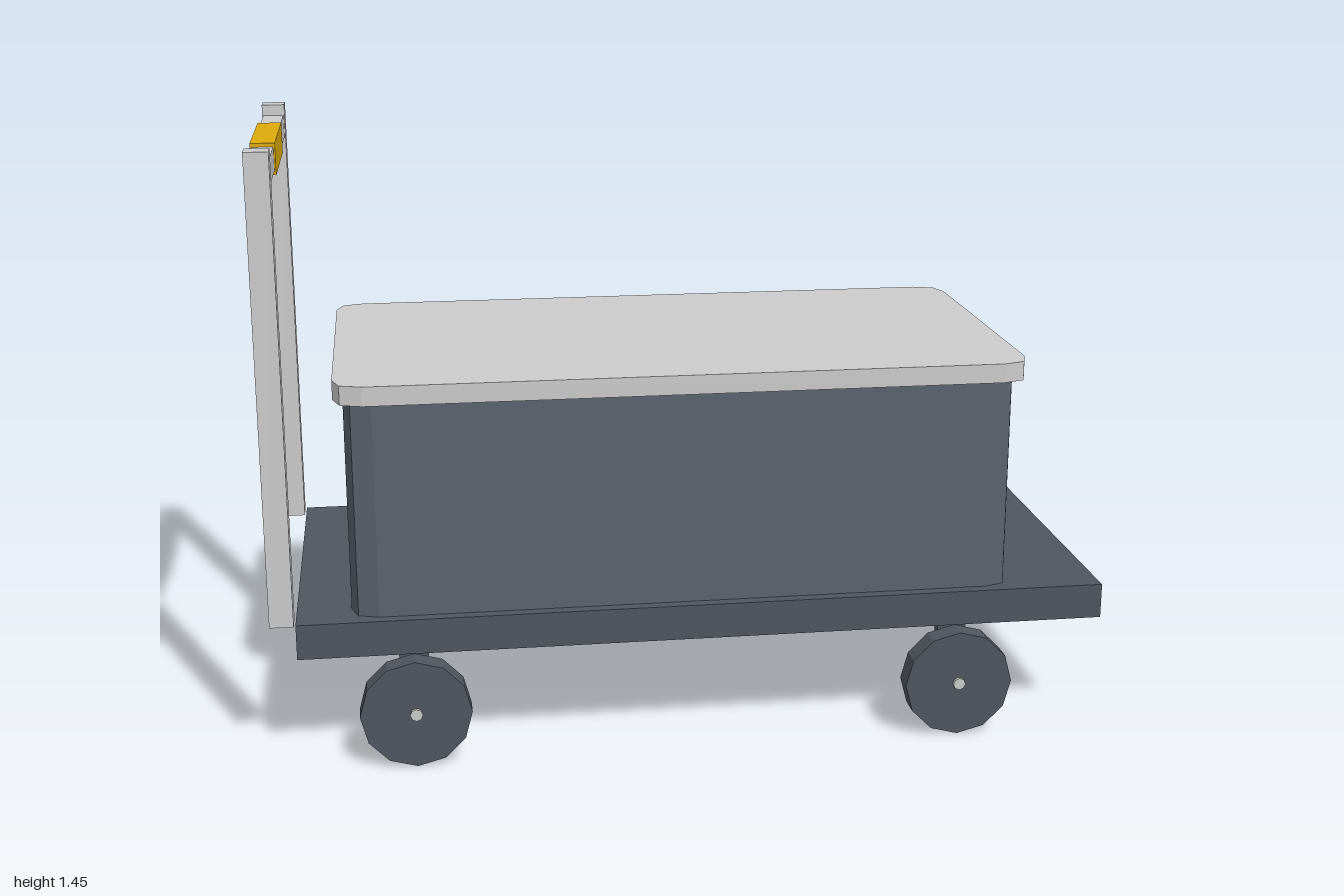
import * as THREE from 'three';

const light = new THREE.MeshStandardMaterial({ color: 0xcccccc, flatShading: true });
const dark = new THREE.MeshStandardMaterial({ color: 0x50565f, flatShading: true });
const binGrey = new THREE.MeshStandardMaterial({ color: 0x5a636e, flatShading: true });
const yellow = new THREE.MeshStandardMaterial({ color: 0xddaa0a, flatShading: true });

function add(parent, name, geometry, material, x, y, z) {
  const mesh = new THREE.Mesh(geometry, material);
  mesh.name = name;
  mesh.position.set(x, y, z);
  parent.add(mesh);
  return mesh;
}

// Box given by its lower and upper limits
function block(parent, name, material, [x0, x1], [y0, y1], [z0, z1]) {
  const geometry = new THREE.BoxGeometry(x1 - x0, y1 - y0, z1 - z0);
  return add(parent, name, geometry, material, (x0 + x1) / 2, (y0 + y1) / 2, (z0 + z1) / 2);
}

// Upright slab with rounded vertical corners, base at y = 0
function roundedSlab(width, depth, height, r) {
  const w = width / 2, d = depth / 2;
  const s = new THREE.Shape();
  s.moveTo(-w + r, -d);
  s.lineTo(w - r, -d);
  s.quadraticCurveTo(w, -d, w, -d + r);
  s.lineTo(w, d - r);
  s.quadraticCurveTo(w, d, w - r, d);
  s.lineTo(-w + r, d);
  s.quadraticCurveTo(-w, d, -w, d - r);
  s.lineTo(-w, -d + r);
  s.quadraticCurveTo(-w, -d, -w + r, -d);
  return new THREE.ExtrudeGeometry(s, { depth: height, bevelEnabled: false, curveSegments: 2 })
    .rotateX(-Math.PI / 2);
}

export function createModel() {
  const cart = new THREE.Group();
  cart.name = 'platformCart';

  // Deck
  block(cart, 'deck', dark, [-0.94, 1], [0.265, 0.35], [-0.435, 0.435]);

  // Storage bin and its overhanging lid
  add(cart, 'bin', roundedSlab(1.59, 0.814, 0.52, 0.065), binGrey, -0.017, 0.35, 0);
  add(cart, 'lid', roundedSlab(1.635, 0.86, 0.046, 0.068), light, -0.017, 0.868, 0);

  // Push handle: two posts, a crossbar and a grip
  const handle = new THREE.Group();
  handle.name = 'handle';
  cart.add(handle);
  for (const side of [1, -1]) {
    const z = [0.38 * side, 0.435 * side].sort((a, b) => a - b);
    block(handle, 'handlePost', light, [-1, -0.944], [0.347, 1.45], z);
  }
  block(handle, 'crossbar', light, [-0.997, -0.947], [1.367, 1.423], [-0.38, 0.38]);
  block(handle, 'grip', yellow, [-1, -0.943], [1.358, 1.432], [-0.175, 0.175]);

  // Four wheels, each with an axle and a mounting bracket
  for (const x of [-0.67, 0.635]) {
    for (const side of [1, -1]) {
      const unit = new THREE.Group();
      unit.name = 'wheelUnit';
      unit.position.x = x;
      cart.add(unit);
      const wheel = new THREE.CylinderGeometry(0.131, 0.131, 0.056, 12).rotateX(Math.PI / 2);
      const axle = new THREE.CylinderGeometry(0.015, 0.015, 0.105, 8).rotateX(Math.PI / 2);
      add(unit, 'wheel', wheel, dark, 0, 0.131, side * 0.453);
      add(unit, 'axle', axle, light, 0, 0.132, side * 0.436);
      add(unit, 'bracket', new THREE.BoxGeometry(0.07, 0.165, 0.026), dark, 0, 0.1875, side * 0.387);
    }
  }
  return cart;
}
